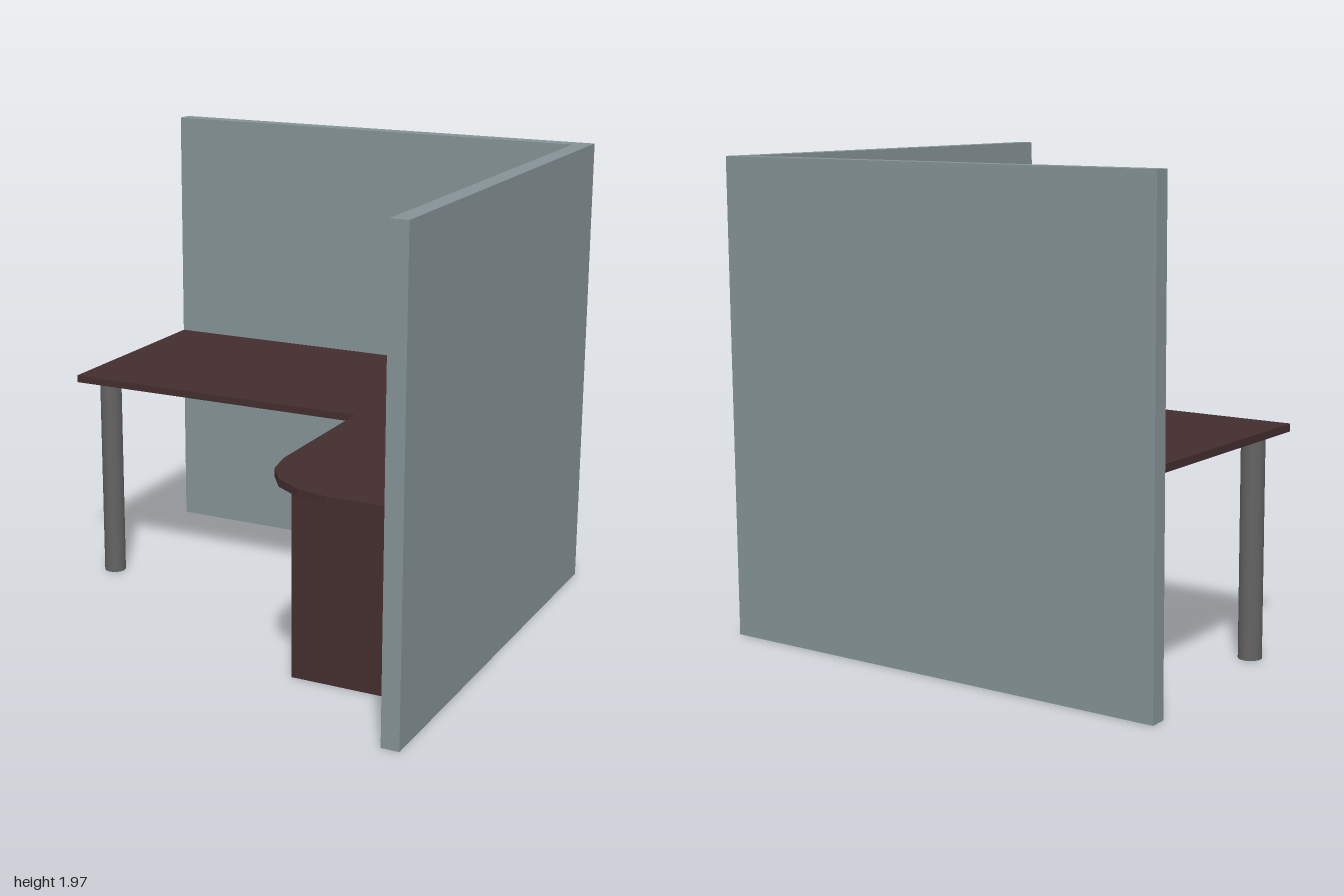
import * as THREE from 'three';

const paint = (name, color) => {
  const m = new THREE.MeshStandardMaterial({ color });
  m.name = name;
  return m;
};

// Upright slab from a floor plan given as [x, z] corners
function slab(plan, bottom, top) {
  const shape = new THREE.Shape(plan.map(([x, z]) => new THREE.Vector2(x, -z)));
  const geometry = new THREE.ExtrudeGeometry(shape, { depth: top - bottom, bevelEnabled: false });
  return geometry.rotateX(-Math.PI / 2).translate(0, bottom, 0);
}

export function createModel() {
  const group = new THREE.Group();
  const fabric = paint('greyPanel', 0x849195);
  const wood = paint('darkWood', 0x432d2e);
  const metal = paint('greyMetal', 0x626262);
  const black = paint('darkHandle', 0x242222);

  const add = (name, geometry, material, x = 0, y = 0, z = 0) => {
    const mesh = new THREE.Mesh(geometry, material);
    mesh.name = name;
    mesh.position.set(x, y, z);
    group.add(mesh);
  };

  // L-shaped partition around the back and left
  add('partitionWalls', slab([
    [-1, -1], [1, -1], [1, 1], [0.925, 1], [0.925, -0.93], [-1, -0.93],
  ], 0, 1.965), fabric);

  // L-shaped worktop with a faceted rounded end
  add('desktop', slab([
    [-1, -0.93], [0.925, -0.93], [0.925, 0.997], [0.69, 0.997], [0.565, 0.968],
    [0.453, 0.897], [0.38, 0.79], [0.355, 0.66], [0.355, 0.015], [-1, 0.015],
  ], 0.905, 0.936), wood);

  // Single round leg under the free corner
  add('deskLeg', new THREE.CylinderGeometry(0.048, 0.048, 0.905, 16), metal, -0.902, 0.4525, -0.105);

  // Drawer cabinet facing the seat, with four pulls
  add('drawerCabinet', new THREE.BoxGeometry(0.57, 0.905, 0.595), wood, 0.64, 0.4525, 0.2975);
  for (let i = 0; i < 4; i++) {
    add('drawerHandle' + (i + 1), new THREE.BoxGeometry(0.009, 0.03, 0.11), black,
      0.3515, 0.15 + i * 0.2265, 0.315);
  }
  return group;
}
